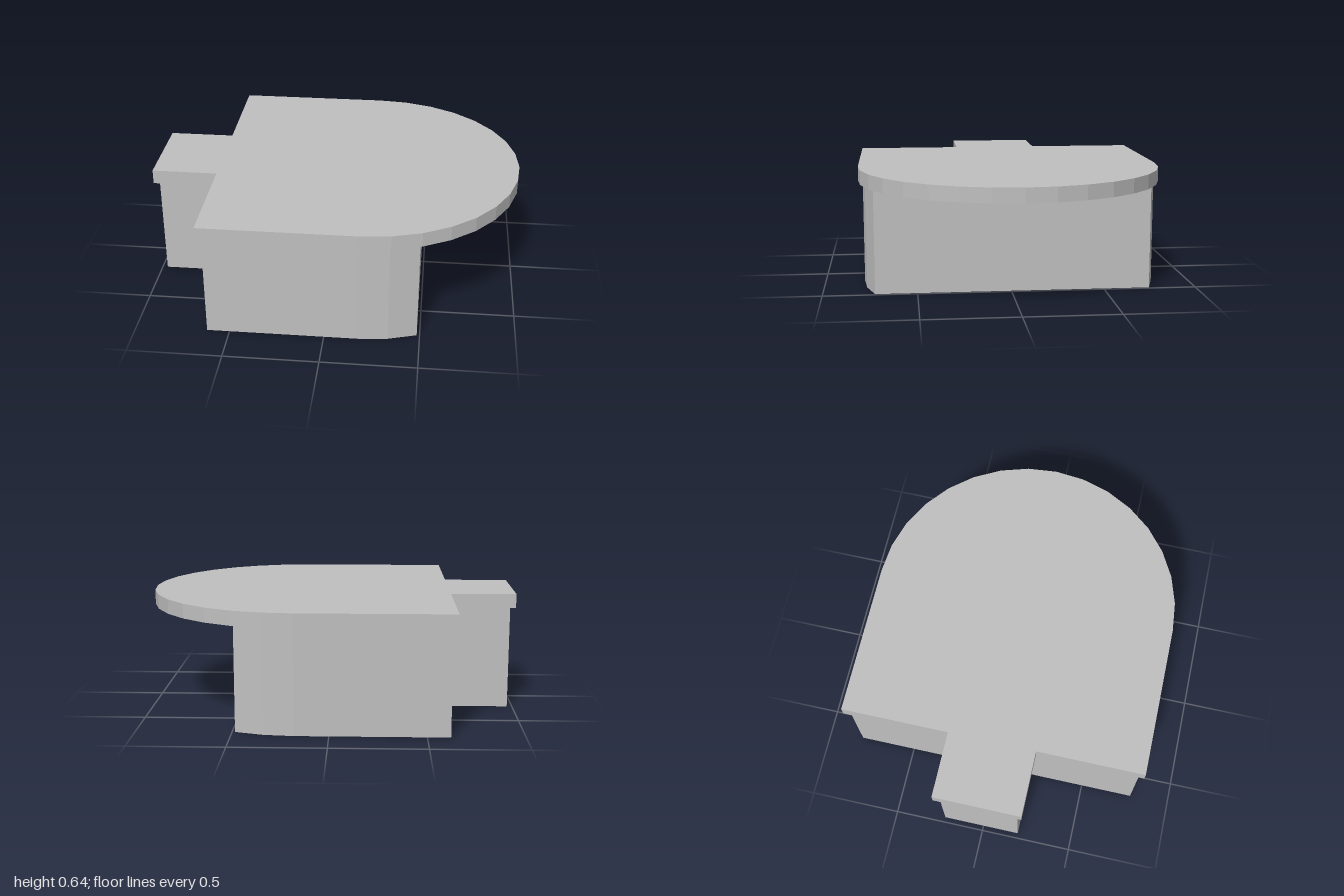
import * as THREE from 'three';

const ARC_X = 0.18; // centre of the rounded end
const MID_Z = -0.004;
const STEPS = 16; // segments in a full half circle

// Plan outline: narrow tab at -x, straight sides, rounded end at +x.
// Only the first and last arcSteps of the half circle are kept; the rest is cut straight.
function outline(tabX, backX, tabHalf, radius, arcSteps) {
  const points = [[tabX, tabHalf], [tabX, -tabHalf], [backX, -tabHalf], [backX, -radius]];
  for (let i = 0; i <= STEPS; i++) {
    if (i > arcSteps && i < STEPS - arcSteps) continue;
    const a = -Math.PI / 2 + (i / STEPS) * Math.PI;
    points.push([ARC_X + radius * Math.cos(a), radius * Math.sin(a)]);
  }
  points.push([backX, radius], [backX, tabHalf]);
  return new THREE.Shape(points.map(([x, y]) => new THREE.Vector2(x, y - MID_Z)));
}

function plate(name, shape, bottom, top, material) {
  const geometry = new THREE.ExtrudeGeometry(shape, { depth: top - bottom, bevelEnabled: false });
  geometry.rotateX(-Math.PI / 2);
  const mesh = new THREE.Mesh(geometry, material);
  mesh.position.set(0, bottom, 2 * MID_Z);
  mesh.name = name;
  return mesh;
}

export function createModel() {
  const grey = new THREE.MeshStandardMaterial({ color: 0xc0c0c0 });
  grey.name = 'light grey';
  const model = new THREE.Group();
  model.name = 'counter';
  // Base cut off flat under the overhang, inset from the top
  model.add(plate('base', outline(-0.972, -0.62, 0.212, 0.797, 2), 0, 0.562, grey));
  // Top with the full rounded overhang
  model.add(plate('top', outline(-1, -0.645, 0.238, 0.822, STEPS), 0.562, 0.64, grey));
  return model;
}
